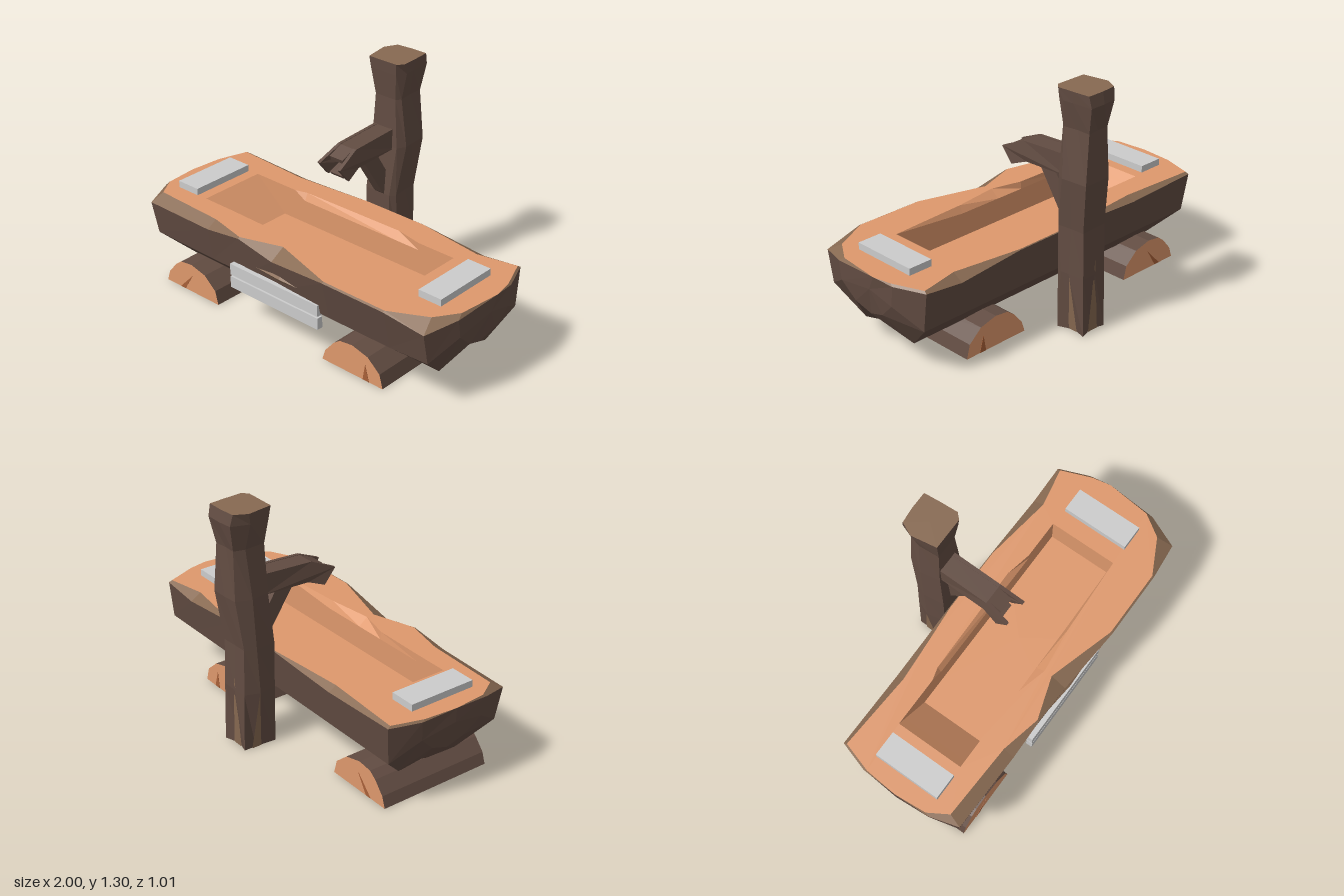
import * as THREE from 'three';

const mat = (color, side = THREE.FrontSide) =>
  new THREE.MeshStandardMaterial({ color, flatShading: true, side });
const bark = mat(0x624c42), wood = mat(0xde986c), worn = mat(0x876951), grey = mat(0xcccccc);
const shellBark = mat(0x624c42, THREE.DoubleSide), shellWood = mat(0xde986c, THREE.DoubleSide);
const crackWood = mat(0xa86038, THREE.DoubleSide);

const V = (x, y, z) => new THREE.Vector3(x, y, z);

function add(parent, name, geometry, material) {
  const mesh = new THREE.Mesh(geometry, material);
  mesh.name = name;
  parent.add(mesh);
  return mesh;
}

// Skin a list of equally long point rings with flat facets
function loft(rings, closed) {
  const pos = [];
  const tri = (a, b, c) => {
    if (a.equals(b) || b.equals(c) || c.equals(a)) return;
    for (const p of [a, b, c]) pos.push(p.x, p.y, p.z);
  };
  for (let i = 0; i < rings.length - 1; i++) {
    const r = rings[i], s = rings[i + 1], n = r.length;
    for (let j = 0; j < (closed ? n : n - 1); j++) {
      const k = (j + 1) % n;
      tri(r[j], r[k], s[j]);
      tri(r[k], s[k], s[j]);
    }
  }
  const g = new THREE.BufferGeometry();
  g.setAttribute('position', new THREE.Float32BufferAttribute(pos, 3));
  g.computeVertexNormals();
  return g;
}

const fanRing = (ring, p) => ring.map(() => p.clone());

function shapeOf(points) {
  return new THREE.Shape(points.map(([x, y]) => new THREE.Vector2(x, y)));
}

// Extrude a (z, y) side profile across x0..x1
function sideProfile(points, x0, x1) {
  const g = new THREE.ExtrudeGeometry(shapeOf(points), { depth: x1 - x0, bevelEnabled: false });
  return g.rotateY(-Math.PI / 2).translate(x1, 0, 0);
}

function box(parent, name, x, y, z, material) {
  const g = new THREE.BoxGeometry(x[1] - x[0], y[1] - y[0], z[1] - z[0]);
  g.translate((x[0] + x[1]) / 2, (y[0] + y[1]) / 2, (z[0] + z[1]) / 2);
  return add(parent, name, g, material);
}

function makeTrough() {
  const trough = new THREE.Group();
  trough.name = 'trough';
  const zc = 0.11;
  // half-log section from the front rim under the belly to the back rim
  const section = [[0.47, 0.46], [0.44, 0.28], [0.28, 0.13], [zc, 0.06], [-0.08, 0.13], [-0.23, 0.28], [-0.255, 0.47]];
  // x from rim to keel, scale, front bulge, front chip, back chip
  const across = x => [x, x, x, x];
  const stations = [
    [[-0.99, -0.975, -0.955, -0.945], 0.55, 0, 0.012, 0.01],
    [[-0.94, -0.92, -0.82, -0.74], 1, -0.01, 0.04, 0.01],
    [across(-0.5), 1, 0, 0.035, 0.025], [across(-0.28), 1, 0, 0.006, 0.015],
    [across(-0.05), 1, 0, 0.05, 0.003], [across(0.32), 1, 0.035, 0.006, 0.003],
    [[0.7, 0.7, 0.7, 0.6], 1, 0.035, 0.006, 0.035],
    [[0.92, 0.92, 0.86, 0.67], 1, 0.01, 0.05, 0.01],
    [[0.985, 0.985, 0.975, 0.96], 0.55, 0, 0.02, 0.01]];
  const rings = stations.map(([xs, s, bulge, chipF, chipB]) =>
    section.map(([z, y], k) => V(
      xs[3 - Math.abs(k - 3)],
      k === 0 ? 0.5 - chipF : k === 6 ? 0.5 - chipB : 0.5 - (0.5 - y) * s,
      zc + (z - zc + (k < 2 ? bulge / (k + 1) : 0)) * s)));
  const endL = V(-1, 0.5, zc), endR = V(1, 0.5, zc - 0.08);
  const capL = fanRing(rings[0], V(-0.995, 0.42, zc)), capR = fanRing(rings[0], V(0.995, 0.42, zc - 0.04));
  capL[0] = capL[6] = endL;
  capR[0] = capR[6] = endR;
  add(trough, 'barkHull', loft([capL, ...rings, capR], false), bark);

  // chipped edge between the bark and the flat top
  const rim = [endL, ...rings.map(r => r[0]), endR, ...rings.map(r => r[6]).reverse()];
  const deck = rim.map(p => {
    const drop = 0.5 - p.y;
    return V(p.x - (Math.abs(p.x) > 0.9 ? Math.sign(p.x) * drop * 0.5 : 0), 0.5,
      p.z - Math.sign(p.z - zc) * drop * 1.7);
  });
  add(trough, 'chippedEdge', loft([rim, deck], true), worn);

  // flat top with the basin opening
  const lip = [[-0.7, 0.29], [-0.5, 0.29], [-0.22, 0.295], [-0.05, 0.34], [0.2, 0.31], [0.64, 0.29],
    [0.64, -0.09], [0.42, -0.09], [0.27, -0.12], [-0.35, -0.11], [-0.42, -0.09], [-0.7, -0.09]];
  const top = shapeOf(deck.map(p => [p.x, -p.z]));
  top.holes.push(new THREE.Path(lip.map(([x, z]) => new THREE.Vector2(x, -z))));
  add(trough, 'topFace', new THREE.ShapeGeometry(top).rotateX(-Math.PI / 2).translate(0, 0.5, 0), wood);

  // basin walls, sloping at the left end, and floor
  const level = (y, left, straight) => lip.map(([x, z]) =>
    V(Math.max(x, left), y, straight ? THREE.MathUtils.clamp(z, -0.09, 0.29) : z));
  const floor = level(0.33, -0.5, true);
  add(trough, 'basin', loft([level(0.5, -0.7, false), level(0.46, -0.653, true), floor,
    fanRing(floor, V(0.07, 0.33, 0.1))], true), wood);

  // splinter in the bark on the front
  const s = [V(-0.32, 0.36, 0.44), V(0, 0.348, 0.455), V(0.25, 0.37, 0.465), V(0, 0.39, 0.455)];
  add(trough, 'splinter', loft([s, fanRing(s, V(0, 0.37, 0.472))], true), worn);
  return trough;
}

function makePost() {
  const post = new THREE.Group();
  post.name = 'spoutPost';
  // irregular section; three of its corners form grooves at the foot
  const unit = [[-0.8, 1], [0.75, 1], [1, 0.65], [0.95, -0.1], [0.88, -1], [0.05, -1], [-0.7, -0.92], [-1, -0.2]];
  const grooved = [3, 5, 7];
  // y, x range, z range, groove depth
  const levels = [
    [0, -0.1, 0.1, -0.46, -0.27, 0.3], [0.32, -0.1, 0.1, -0.455, -0.27, 0],
    [0.57, -0.1, 0.1, -0.45, -0.27, 0.05], [0.84, -0.085, 0.125, -0.485, -0.293, 0],
    [1.1, -0.065, 0.1, -0.48, -0.3, 0.1], [1.24, -0.09, 0.12, -0.508, -0.285, 0],
    [1.3, -0.1, 0.125, -0.495, -0.28, 0]];
  const rings = levels.map(([y, x0, x1, z0, z1, groove], i) => unit.map(([u, w], j) => {
    const k = grooved.includes(j) ? 1 - groove : 1;
    const twist = Math.abs(w) < 0.9 ? (i % 2 ? 0.12 : -0.08) * (j % 2 ? 1 : -1) : 0;
    return V((x0 + x1) / 2 + u * k * (x1 - x0) / 2, y, (z0 + z1) / 2 + (w * k + twist) * (z1 - z0) / 2);
  }));
  const last = rings[rings.length - 1];
  add(post, 'postTrunk', loft([fanRing(last, V(0, 0, -0.365)), ...rings], true), bark);
  add(post, 'postTop', loft([last, fanRing(last, V(0.01, 1.3, -0.385))], true), worn);

  // bare wood strips in the grooves
  const strips = [
    [V(0.076, 0, -0.35), V(0.076, 0, -0.405), V(0.101, 0.32, -0.37)],
    [V(-0.076, 0, -0.41), V(-0.076, 0, -0.355), V(-0.103, 0.32, -0.375)],
    [V(0.035, 0, -0.444), V(-0.03, 0, -0.444), V(0.005, 0.4, -0.456)]];
  for (const [a, b, c] of strips) add(post, 'bareStrip', loft([[a, b], [c, c]], false), worn);

  // spout: hollow core with longer cheeks on both sides
  const cheek = [[-0.31, 0.825], [-0.04, 0.815], [0.05, 0.78], [0.115, 0.86], [-0.02, 0.922], [-0.31, 0.937]];
  const core = [[-0.31, 0.83], [-0.04, 0.818], [0.05, 0.783], [0.06, 0.798], [-0.05, 0.84],
    [-0.04, 0.89], [0.05, 0.862], [0.06, 0.885], [-0.02, 0.92], [-0.31, 0.935]];
  add(post, 'spoutCore', sideProfile(core, -0.035, 0.05), bark);
  for (const [x0, x1, flare] of [[-0.052, -0.034, -1], [0.049, 0.068, 1]]) {
    const g = sideProfile(cheek, x0, x1), p = g.attributes.position;
    for (let i = 0; i < p.count; i++)
      if (p.getZ(i) > 0.03) p.setX(i, p.getX(i) + flare * 0.016);
    g.computeVertexNormals();
    add(post, 'spoutCheek', g, bark);
  }
  box(post, 'spoutHollow', [-0.034, 0.049], [0.835, 0.895], [-0.08, -0.035], worn);

  // diagonal brace under the spout
  add(post, 'spoutBrace', sideProfile([[-0.29, 0.55], [-0.26, 0.58], [-0.1, 0.825], [-0.205, 0.825], [-0.29, 0.69]],
    -0.018, 0.04), bark);
  return post;
}

// Half-log shell, open underneath, with bare ends that are cracked
function makeFootLog(x, crack) {
  const log = new THREE.Group();
  log.name = 'footLog';
  const arc = [[-0.195, 0], [-0.175, 0.06], [-0.12, 0.125], [-0.08, 0.155], [0, 0.165], [0.1, 0.14], [0.175, 0.075], [0.195, 0]];
  const back = -0.21, front = 0.43;
  add(log, 'barkShell', loft([front, back].map(z => arc.map(([u, y]) => V(u, y, z))), false), shellBark);
  for (const z of [back, front]) {
    add(log, 'bareEnd', new THREE.ShapeGeometry(shapeOf(arc)).translate(0, 0, z), shellWood);
    const c = new THREE.ExtrudeGeometry(shapeOf(crack), { depth: 0.004, bevelEnabled: false });
    add(log, 'endCrack', c.translate(0, 0, z - 0.002), crackWood);
  }
  log.position.x = x;
  return log;
}

export function createModel() {
  const model = new THREE.Group();
  model.name = 'logTroughFountain';
  model.add(makeTrough(), makePost());
  model.add(makeFootLog(-0.685, [[-0.09, 0.001], [-0.055, 0.001], [0.005, 0.1]]));
  model.add(makeFootLog(0.445, [[0.07, 0.001], [0.11, 0.001], [0.085, 0.09]]));

  // plates on the top ends and the front
  for (const x of [[-0.9, -0.76], [0.735, 0.87]])
    box(model, 'topPlate', x, [0.495, 0.537], [-0.08, 0.295], grey);
  for (const y of [[0.267, 0.33], [0.193, 0.257]])
    box(model, 'frontPlate', [-0.34, 0.26], y, [0.44, 0.475], grey);
  return model;
}
